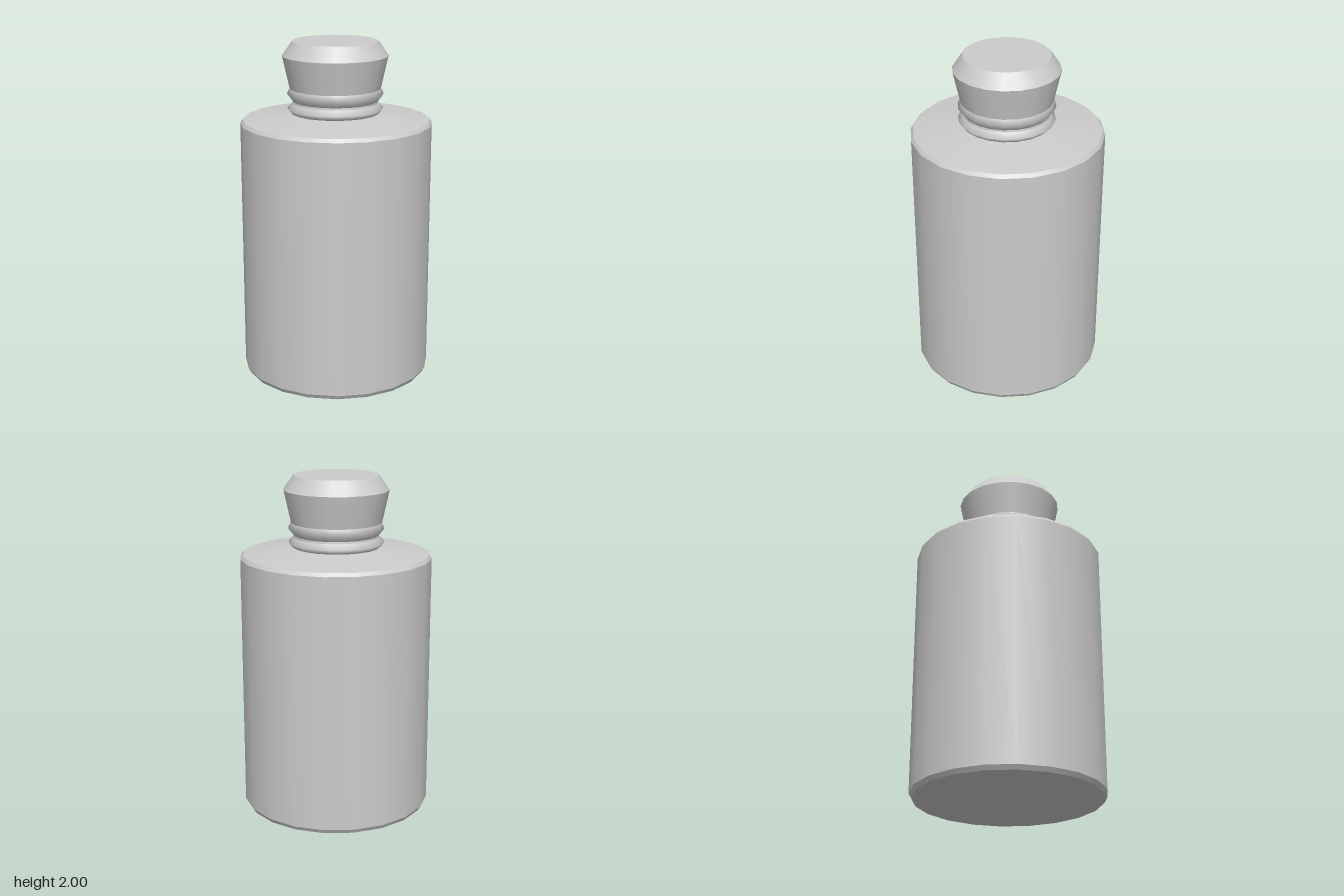
import * as THREE from 'three';

const SIDES = 20;
const material = new THREE.MeshStandardMaterial({ color: 0xcccccc });

// One smooth band of revolution; separate bands meet in sharp edges
function band(name, profile) {
  const points = profile.map(([r, y]) => new THREE.Vector2(r, y));
  const mesh = new THREE.Mesh(new THREE.LatheGeometry(points, SIDES), material);
  mesh.name = name;
  return mesh;
}

function part(name, bands) {
  const group = new THREE.Group();
  group.name = name;
  for (const [label, profile] of Object.entries(bands)) group.add(band(label, profile));
  return group;
}

export function createModel() {
  const model = new THREE.Group();
  model.name = 'bottle';

  // Cylindrical body with narrow bevels and a shallow conical shoulder
  const body = part('body', {
    base: [[0, 0], [0.548, 0]],
    bottomBevel: [[0.548, 0], [0.563, 0.026]],
    wall: [[0.563, 0.026], [0.563, 1.523]],
    topBevel: [[0.563, 1.523], [0.548, 1.543]],
    shoulder: [[0.548, 1.543], [0.25, 1.584]],
  });

  // Neck with two rounded rings
  const neck = part('neck', {
    lowerRing: [[0.25, 1.575], [0.262, 1.586], [0.281, 1.61], [0.252, 1.641]],
    groove: [[0.252, 1.641], [0.25, 1.653]],
    upperRing: [[0.25, 1.653], [0.282, 1.693], [0.267, 1.726]],
  });

  // Flared stopper with a bevelled flat top
  const stopper = part('stopper', {
    flare: [[0.267, 1.726], [0.309, 1.916]],
    rimBevel: [[0.309, 1.916], [0.25, 2]],
    top: [[0.25, 2], [0, 2]],
  });

  // Neck and stopper sit slightly forward of the body axis
  neck.position.z = stopper.position.z = 0.006;

  model.add(body, neck, stopper);
  return model;
}
